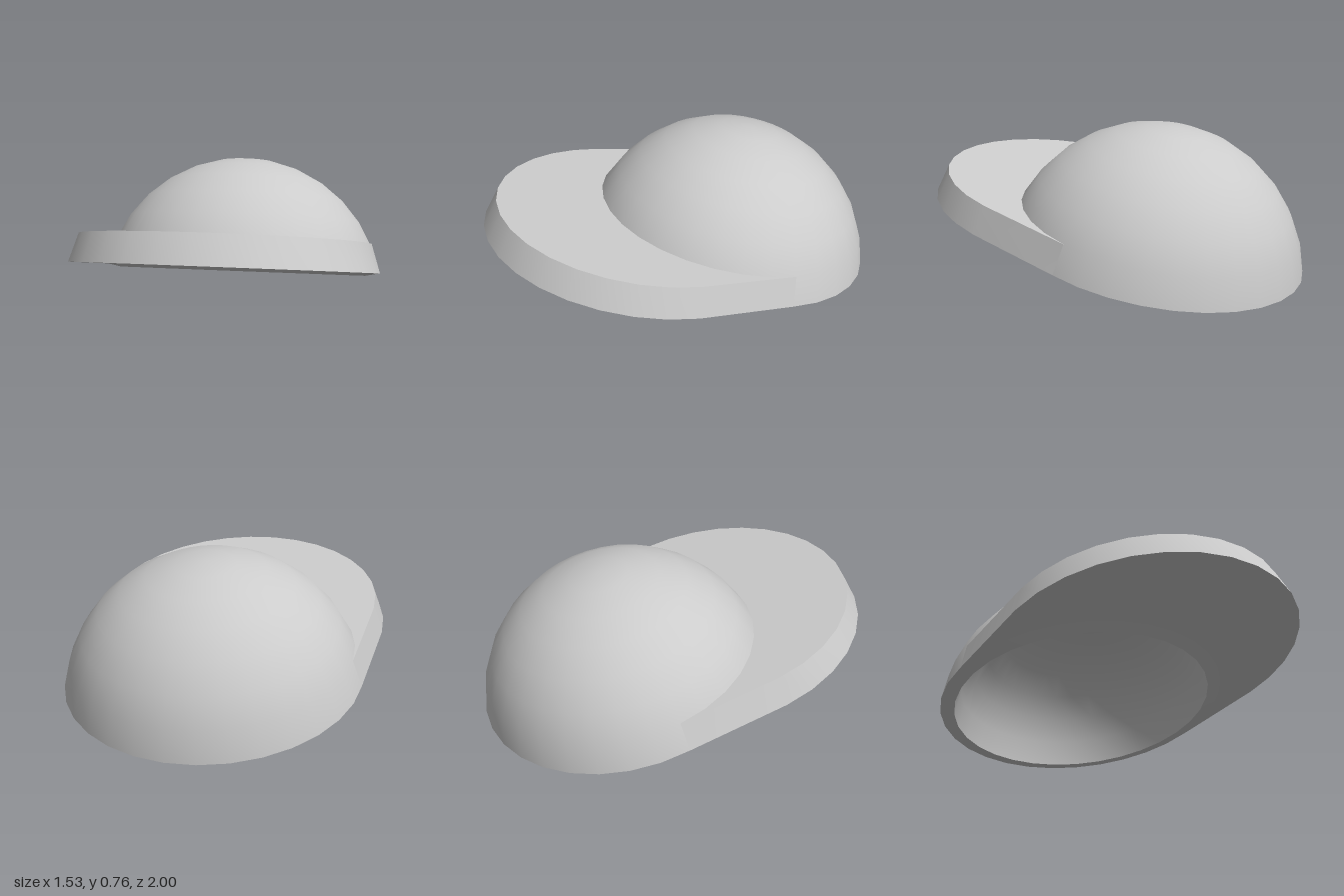
import * as THREE from 'three';
import { toCreasedNormals } from 'three/addons/utils/BufferGeometryUtils.js';

const SEGMENTS = 32;
const STEP = (2 * Math.PI) / SEGMENTS;
const OUTER = 0.755;       // crown outer radius
const INNER = 0.683;       // crown lining radius
const RINGS = 7;           // rings from the pole down to the rim
const TILT = 0.203;        // the cap leans back

// Hollow crown: lining from pole to rim, then outside from rim to pole
function crownGeometry() {
  const profile = [];
  const add = (r, i) => profile.push(new THREE.Vector2(r * Math.sin(i * STEP), r * Math.cos(i * STEP)));
  for (let i = 0; i <= RINGS; i++) add(INNER, i);
  for (let i = RINGS; i >= 0; i--) add(OUTER, i);
  return toCreasedNormals(new THREE.LatheGeometry(profile, SEGMENTS), 0.6);
}

// Brim: the front half of the lowest crown band, pushed forward and widened
function brimGeometry() {
  const half = SEGMENTS / 2;
  const low = { r: OUTER * Math.sin(RINGS * STEP), y: OUTER * Math.cos(RINGS * STEP) };
  const high = { r: OUTER * Math.sin((RINGS - 1) * STEP), y: OUTER * Math.cos((RINGS - 1) * STEP) };
  const positions = [];
  const index = [];
  const quad = (a, b, c, d) => index.push(a, b, c, a, c, d);

  for (let i = 0; i <= half; i++) {
    const x = Math.cos(i * STEP), z = Math.sin(i * STEP);
    const inner = ({ r, y }) => positions.push(r * x, y, r * z);
    const outer = ({ r, y }) => positions.push(1.03 * r * x, y, 0.515 + 1.065 * r * z);
    inner(low); outer(low); outer(high); inner(high);
  }
  // underside, outer edge and top
  for (let i = 0; i < half; i++) {
    for (let j = 0; j < 3; j++) {
      const a = i * 4 + j;
      quad(a, a + 1, a + 5, a + 4);
    }
  }
  // straight sides running back to the crown
  quad(0, 3, 2, 1);
  const e = half * 4;
  quad(e, e + 1, e + 2, e + 3);

  const geometry = new THREE.BufferGeometry();
  geometry.setAttribute('position', new THREE.Float32BufferAttribute(positions, 3));
  geometry.setIndex(index);
  return toCreasedNormals(geometry, 0.6);
}

export function createModel() {
  const material = new THREE.MeshStandardMaterial({ color: 0xcccccc });
  const cap = new THREE.Group();
  cap.name = 'cap';
  const parts = { crown: crownGeometry(), brim: brimGeometry() };
  for (const [name, geometry] of Object.entries(parts)) {
    const mesh = new THREE.Mesh(geometry, material);
    mesh.name = name;
    cap.add(mesh);
  }
  cap.rotation.x = -TILT;
  cap.position.set(0, 0.008, -0.243);

  const model = new THREE.Group();
  model.name = 'model';
  model.add(cap);
  return model;
}
